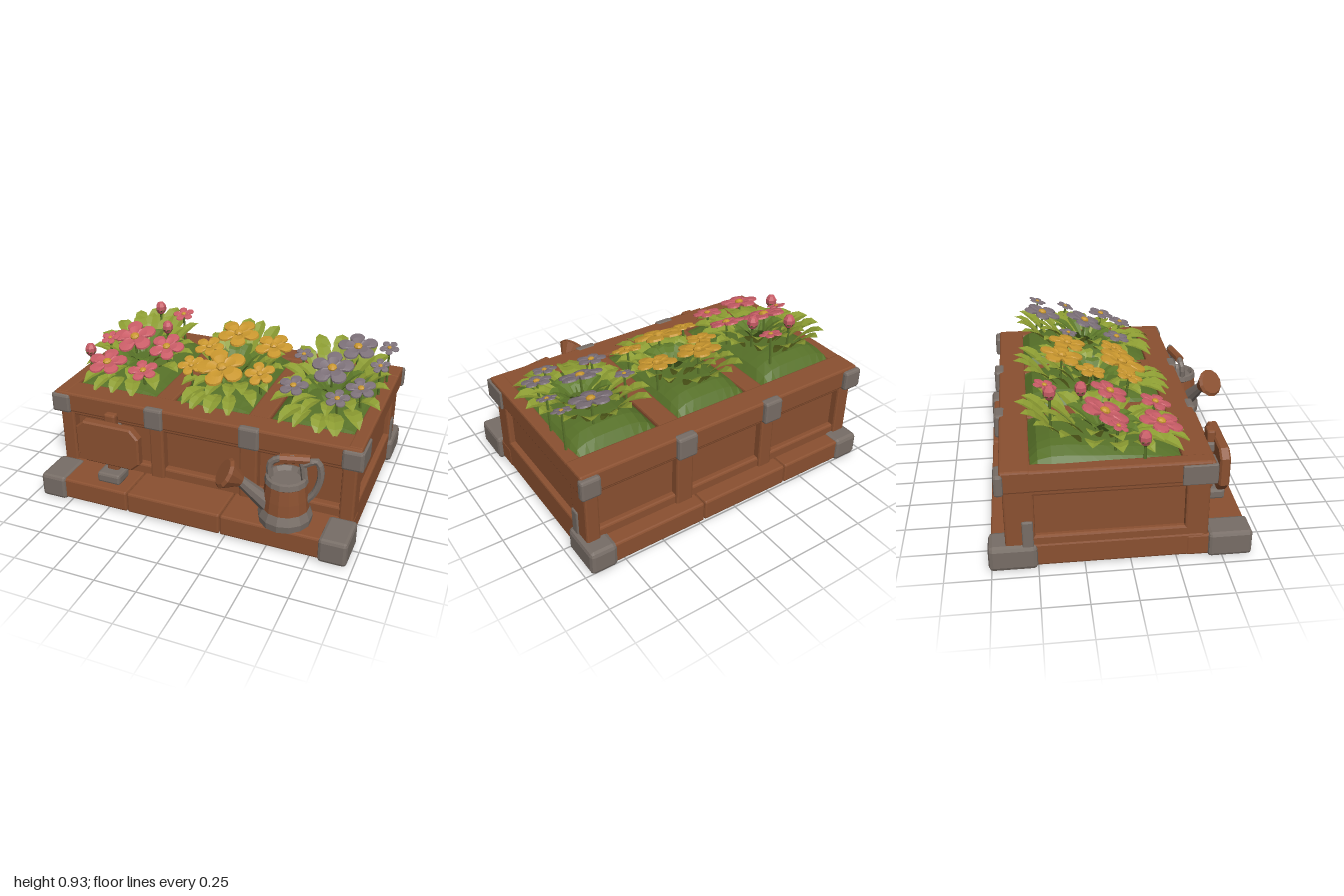
import * as THREE from 'three';
import { mergeGeometries } from 'three/addons/utils/BufferGeometryUtils.js';
import { RoundedBoxGeometry } from 'three/addons/geometries/RoundedBoxGeometry.js';

const mat = (name, color, side = THREE.FrontSide) =>
  new THREE.MeshStandardMaterial({ name, color, side, flatShading: true });
const wood = mat('wood', 0x8a5030);
const metal = mat('metal', 0x776d66);
const moss = mat('moss', 0x567028);
const leafLight = mat('leafLight', 0x8c9c32, THREE.DoubleSide);
const leafDark = mat('leafDark', 0x5e7a2a, THREE.DoubleSide);
const pink = mat('pink', 0xc85c66);
const yellow = mat('yellow', 0xc8962e);
const ash = mat('ash', 0x7c7078);

// Small seeded random
let seed = 7;
const rnd = (a, b) => {
  seed = (seed * 16807) % 2147483647;
  return a + (b - a) * (seed / 2147483647);
};

const V = (x, y, z) => new THREE.Vector3(x, y, z);

export function createModel() {
  const model = new THREE.Group();
  model.name = 'flowerPlanter';

  const add = (parent, name, geo, material) => {
    const m = new THREE.Mesh(geo, material);
    m.name = name;
    parent.add(m);
    return m;
  };
  // Chamfered box given by its limits on each axis
  const box = (name, x0, x1, y0, y1, z0, z1, material = wood, r = 0.012, parent = model) => {
    const m = add(parent, name, new RoundedBoxGeometry(x1 - x0, y1 - y0, z1 - z0, 1, r), material);
    m.position.set((x0 + x1) / 2, (y0 + y1) / 2, (z0 + z1) / 2);
    return m;
  };
  // Tapered round bar between two points
  const bar = (parent, name, a, b, ra, rb, material, sides = 8) => {
    const d = b.clone().sub(a);
    const m = add(parent, name, new THREE.CylinderGeometry(rb, ra, d.length(), sides), material);
    m.position.copy(a).addScaledVector(d, 0.5);
    m.quaternion.setFromUnitVectors(V(0, 1, 0), d.normalize());
    return m;
  };

  // Base planks and body core
  const seams = [-0.93, -0.37, 0.22, 0.94];
  for (let i = 0; i < 3; i++) {
    box('frontStep', seams[i] + 0.002, seams[i + 1] - 0.002, 0.01, 0.14, 0.3, 0.65);
    box('backStep', seams[i] + 0.002, seams[i + 1] - 0.002, 0.01, 0.14, -0.75, -0.5);
  }
  box('floor', -0.925, 0.935, 0.012, 0.15, -0.6, 0.4);
  box('body', -0.89, 0.9, 0.1, 0.57, -0.62, 0.36);

  // Frame posts and rails around the recessed panels
  const posts = [[-0.92, -0.83], [-0.32, -0.23], [0.25, 0.36], [0.85, 0.935]];
  for (const [a, b] of posts) {
    box('frontPost', a, b, 0.12, 0.52, 0.3, 0.42);
    box('backPost', a, b, 0.12, 0.52, -0.67, -0.58);
  }
  for (const [y0, y1] of [[0.12, 0.2], [0.45, 0.52]]) {
    box('frontRail', -0.9, 0.91, y0, y1, 0.3, 0.405);
    box('backRail', -0.9, 0.91, y0, y1, -0.655, -0.58);
  }
  for (const [a, b] of [[-0.92, -0.86], [0.87, 0.935]]) {
    box('sidePost', a, b, 0.12, 0.52, 0.29, 0.41);
    box('sidePost', a, b, 0.12, 0.52, -0.66, -0.51);
    box('sideRail', a, b, 0.1, 0.2, -0.6, 0.35);
    box('sideRail', a, b, 0.45, 0.52, -0.6, 0.35);
  }

  // Rim and dividers
  box('frontRim', -0.945, 0.955, 0.485, 0.61, 0.27, 0.435);
  box('backRim', -0.945, 0.955, 0.485, 0.615, -0.68, -0.52);
  box('sideRim', -0.945, -0.86, 0.487, 0.612, -0.66, 0.42);
  box('sideRim', 0.87, 0.955, 0.487, 0.612, -0.66, 0.42);
  box('divider', -0.34, -0.22, 0.5, 0.608, -0.55, 0.3);
  box('divider', 0.25, 0.38, 0.5, 0.608, -0.55, 0.3);

  // Metal brackets: feet, rim corners, middle caps
  for (const [a, b] of [[-0.945, -0.78], [0.8, 0.965]]) {
    box('frontFoot', a, b, 0, 0.15, 0.42, 0.665, metal, 0.02);
    box('backFoot', a, b, 0, 0.15, -0.765, -0.5, metal, 0.025);
  }
  for (const s of [-1, 1]) {
    const x = s < 0 ? -0.958 : 0.848, side = s < 0 ? -0.958 : 0.955;
    box('frontRimCorner', x, x + 0.12, 0.478, 0.598, 0.4, 0.45, metal, 0.015);
    box('frontRimCornerSide', side, side + 0.016, 0.48, 0.597, 0.26, 0.445, metal, 0.006);
    box('backRimCorner', x, x + 0.12, 0.478, 0.602, -0.71, -0.66, metal, 0.015);
    box('backPostStrap', s < 0 ? -0.935 : 0.925, s < 0 ? -0.915 : 0.945, 0.13, 0.3, -0.58, -0.52, metal, 0.008);
  }
  for (const [a, b] of [[-0.34, -0.22], [0.25, 0.375]]) {
    box('frontRimCap', a, b, 0.478, 0.614, 0.4, 0.45, metal, 0.014);
    box('backRimCap', a, b, 0.478, 0.619, -0.71, -0.65, metal, 0.014);
  }

  // Sign on a short post
  const sign = new THREE.Group();
  sign.name = 'sign';
  model.add(sign);
  box('signFoot', -0.595, -0.445, 0.135, 0.2, 0.46, 0.59, metal, 0.015, sign);
  box('signPost', -0.56, -0.485, 0.18, 0.57, 0.475, 0.525, wood, 0.012, sign);
  box('signStrap', -0.575, -0.47, 0.44, 0.5, 0.462, 0.53, metal, 0.01, sign);
  const board = new THREE.Shape([[-0.15, -0.13], [0.15, -0.13], [0.195, -0.09], [0.195, 0.07], [0.15, 0.12],
    [-0.15, 0.12], [-0.195, 0.08], [-0.195, -0.08]].map(([x, y]) => new THREE.Vector2(x, y)));
  add(sign, 'signBoard', new THREE.ExtrudeGeometry(board, { depth: 0.04, bevelSize: 0.01, bevelThickness: 0.01, bevelSegments: 1 }), wood)
    .position.set(-0.52, 0.395, 0.525);

  // Watering can
  const can = new THREE.Group();
  can.name = 'wateringCan';
  model.add(can);
  const lathe = (name, pts, material) => {
    add(can, name, new THREE.LatheGeometry(pts.map(([r, y]) => new THREE.Vector2(r, y)), 14), material)
      .position.set(0.57, 0, 0.525);
  };
  lathe('canFoot', [[0, 0.138], [0.15, 0.138], [0.155, 0.18], [0.135, 0.23]], metal);
  lathe('canBody', [[0.135, 0.23], [0.128, 0.3], [0.116, 0.385]], wood);
  lathe('canTop', [[0.116, 0.385], [0.122, 0.39], [0.116, 0.42], [0.1, 0.425], [0.085, 0.4], [0, 0.4]], metal);
  bar(can, 'spout', V(0.5, 0.22, 0.56), V(0.34, 0.41, 0.645), 0.055, 0.03, metal);
  bar(can, 'rose', V(0.345, 0.405, 0.643), V(0.275, 0.46, 0.685), 0.035, 0.09, wood, 12);
  bar(can, 'roseFace', V(0.275, 0.46, 0.685), V(0.263, 0.469, 0.692), 0.09, 0.075, wood, 12);
  const tube = (name, pts, r, material) =>
    add(can, name, new THREE.TubeGeometry(new THREE.CatmullRomCurve3(pts.map(p => V(...p))), 14, r, 7), material);
  tube('topHandle', [[0.48, 0.41, 0.54], [0.48, 0.49, 0.535], [0.54, 0.525, 0.525], [0.64, 0.525, 0.51], [0.67, 0.41, 0.51]], 0.02, metal);
  tube('backHandle', [[0.66, 0.5, 0.51], [0.73, 0.53, 0.5], [0.755, 0.45, 0.495], [0.73, 0.34, 0.5], [0.68, 0.27, 0.51]], 0.02, metal);
  bar(can, 'handleGrip', V(0.53, 0.525, 0.53), V(0.69, 0.53, 0.495), 0.028, 0.028, wood);

  // Planted mound, highest near the back
  const moundY = (u, v) => 0.575 + (0.092 - 0.045 * v) * Math.max(0, (1 - u ** 4) * (1 - v ** 6));
  const mound = (cx, hw) => {
    const g = new THREE.PlaneGeometry(2, 2, 10, 12).rotateX(-Math.PI / 2);
    const p = g.attributes.position;
    for (let i = 0; i < p.count; i++) {
      const u = p.getX(i), v = p.getZ(i);
      p.setXYZ(i, cx + u * hw, moundY(u, v), -0.125 + v * 0.425);
    }
    g.computeVertexNormals();
    return g;
  };

  // Arching leaf folded along its midrib
  const leaf = (a, b, w, arch) => {
    const curve = new THREE.QuadraticBezierCurve3(a, a.clone().lerp(b, 0.55).add(V(0, arch, 0)), b);
    const side = V(b.z - a.z, 0, a.x - b.x).normalize();
    const pos = [], idx = [];
    [0.2, 0.72, 1, 0.75, 0].forEach((k, i) => {
      const c = curve.getPoint(i / 4);
      for (const s of [-1, 0, 1]) {
        const q = c.clone().addScaledVector(side, s * k * w / 2);
        pos.push(q.x, q.y + Math.abs(s) * k * w * 0.15, q.z);
      }
      if (i) for (const j of [0, 1]) {
        const n = (i - 1) * 3 + j;
        idx.push(n, n + 1, n + 3, n + 1, n + 4, n + 3);
      }
    });
    const g = new THREE.BufferGeometry();
    g.setAttribute('position', new THREE.Float32BufferAttribute(pos, 3));
    g.setIndex(idx);
    g.computeVertexNormals();
    return g;
  };
  // Ring of leaves: inner and outer half sizes on x and z
  const leafRing = (cx, n, inner, outer, w, lift, phase) => {
    const list = [];
    for (let i = 0; i < n; i++) {
      const t = (i + phase + rnd(-0.2, 0.2)) / n * Math.PI * 2;
      const c = Math.cos(t), s = Math.sin(t), k = rnd(0.9, 1.0);
      // Squared-off ellipse
      const q = Math.pow(c ** 4 + s ** 4, -0.25) * 0.55 + 0.45;
      const x1 = cx + c * Math.min(q, 1.02) * outer[0] * k, z1 = -0.11 + s * q * outer[1] * k;
      const x0 = cx + c * inner[0], z0 = -0.11 + s * inner[1];
      list.push(leaf(V(x0, 0.65 - 0.06 * z0, z0), V(x1, 0.685 - 0.25 * z1 + lift, z1), w * rnd(0.85, 1.15), 0.06));
    }
    return mergeGeometries(list);
  };

  // Five-petalled flower, made by scaling a disc into lobes
  const petals = (R) => {
    const g = new THREE.LatheGeometry([[0, -0.02], [1, 0.0], [0.97, 0.05], [0.6, 0.08], [0, 0.0]]
      .map(([r, y]) => new THREE.Vector2(r * R, y * R * 1.6)), 40);
    const p = g.attributes.position;
    for (let i = 0; i < p.count; i++) {
      const t = Math.atan2(p.getZ(i), p.getX(i)), r = Math.hypot(p.getX(i), p.getZ(i)) / R;
      const k = 1 - Math.min(1, r * 1.2) * 0.5 * (1 - Math.pow(Math.abs(Math.cos(2.5 * t)), 0.55));
      p.setX(i, p.getX(i) * k);
      p.setZ(i, p.getZ(i) * k);
    }
    return g;
  };
  const flower = (parent, x, z, R, material) => {
    const y = 0.765 - 0.2 * z + rnd(-0.012, 0.012);
    bar(parent, 'stem', V(x, 0.6, z - 0.02), V(x, y, z), 0.009, 0.007, moss, 5);
    const f = new THREE.Group();
    f.name = 'flower';
    f.position.set(x, y, z);
    f.rotation.set(rnd(0.25, 0.42), rnd(0, 6), 0, 'XYZ');
    parent.add(f);
    add(f, 'petals', petals(R), material);
    add(f, 'flowerCentre', new THREE.SphereGeometry(R * 0.22, 8, 5).scale(1, 0.6, 1), yellow).position.y = R * 0.07;
  };
  const bud = (parent, x, y, z) => {
    bar(parent, 'budStem', V(x, 0.62, z), V(x, y - 0.02, z), 0.009, 0.008, moss, 5);
    add(parent, 'bud', new THREE.SphereGeometry(0.04, 7, 5).scale(0.9, 1.1, 0.9), pink).position.set(x, y, z);
    add(parent, 'budCup', new THREE.ConeGeometry(0.036, 0.05, 7).rotateX(Math.PI), moss).position.set(x, y - 0.035, z);
  };

  // Three beds: centre x, mound half width, petal colour, flowers as [x, z, radius]
  const beds = [
    { name: 'pinkBed', cx: -0.62, hw: 0.29, out: 0.345, colour: pink, flowers: [[-0.67, -0.115, 0.14], [-0.71, 0.18, 0.125],
      [-0.42, -0.06, 0.115], [-0.465, -0.42, 0.07], [-0.82, -0.06, 0.06], [-0.46, 0.19, 0.095]] },
    { name: 'yellowBed', cx: 0.02, hw: 0.26, out: 0.31, colour: yellow, flowers: [[-0.03, -0.3, 0.135], [0.22, -0.25, 0.12],
      [-0.165, -0.14, 0.095], [0, 0.06, 0.155], [0.235, 0.04, 0.095], [-0.19, 0.08, 0.085]] },
    { name: 'ashBed', cx: 0.645, hw: 0.27, out: 0.35, colour: ash, flowers: [[0.715, -0.385, 0.125], [0.63, -0.11, 0.13],
      [0.455, 0.085, 0.09], [0.835, 0.02, 0.09], [0.73, 0.14, 0.075], [0.42, -0.23, 0.06], [0.89, -0.22, 0.06], [0.9, -0.41, 0.06]] },
  ];
  for (const b of beds) {
    const bed = new THREE.Group();
    bed.name = b.name;
    model.add(bed);
    add(bed, 'mound', mound(b.cx, b.hw), moss);
    add(bed, 'outerLeaves', leafRing(b.cx, 17, [0.17, 0.28], [b.out, 0.49], 0.095, 0, 0), leafLight);
    add(bed, 'middleLeaves', leafRing(b.cx, 12, [0.1, 0.15], [b.out * 0.78, 0.37], 0.09, 0.025, 0.5), leafLight);
    add(bed, 'innerLeaves', leafRing(b.cx, 9, [0.04, 0.05], [b.out * 0.5, 0.22], 0.085, 0.02, 0.2), leafDark);
    for (const [x, z, R] of b.flowers) flower(bed, x, z, R, b.colour);
    if (b.colour === pink) for (const p of [[-0.62, 0.89, -0.4], [-0.49, 0.84, -0.225], [-0.89, 0.74, 0.07]]) bud(bed, ...p);
  }
  return model;
}
